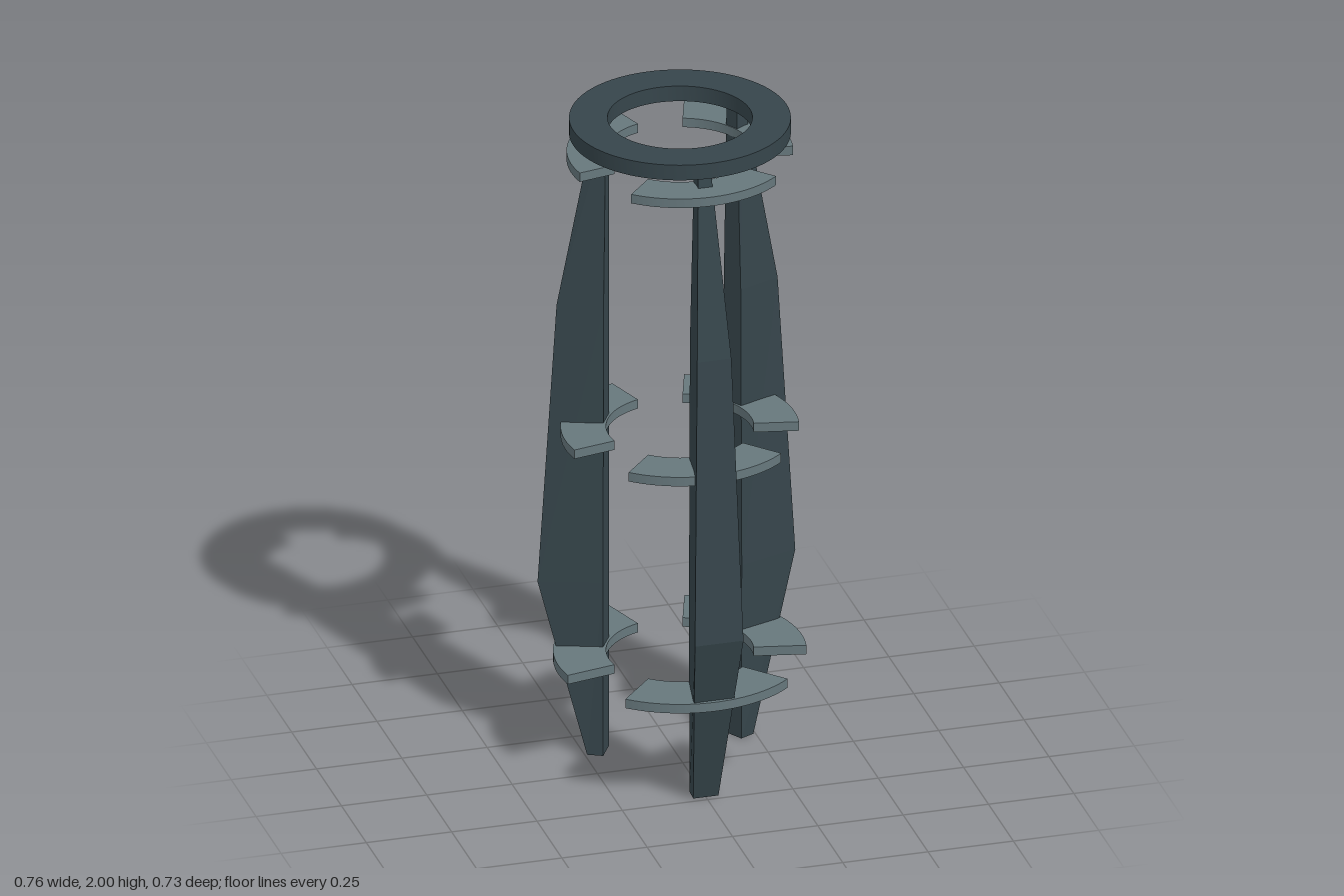
import * as THREE from 'three';
import { toCreasedNormals } from 'three/addons/utils/BufferGeometryUtils.js';

const dark = new THREE.MeshStandardMaterial({ color: 0x36454b });
const light = new THREE.MeshStandardMaterial({ color: 0x66777c });

// Flat plate from a shape, lying horizontally with its underside at y
function plate(shape, y, height, segments) {
  const g = new THREE.ExtrudeGeometry(shape, { depth: height, bevelEnabled: false, curveSegments: segments });
  g.rotateX(-Math.PI / 2);
  g.translate(0, y, 0);
  return toCreasedNormals(g, 0.6);
}

// Arc plate centred on +z
function arcPlate(inner, outer, half, y, height) {
  const mid = -Math.PI / 2;
  const s = new THREE.Shape();
  s.absarc(0, 0, outer, mid - half, mid + half, false);
  s.absarc(0, 0, inner, mid + half, mid - half, true);
  s.closePath();
  return plate(s, y, height, 24);
}

// Tapered leg lofted through trapezoid sections: [y, inner r, outer r, inner half width, outer half width]
function legGeometry() {
  const sections = [
    [0, 0.214, 0.26, 0.034, 0.037],
    [0.54, 0.214, 0.395, 0.036, 0.071],
    [1.4, 0.213, 0.345, 0.033, 0.05],
    [1.955, 0.21, 0.245, 0.02, 0.018],
  ];
  const pos = [], idx = [];
  for (const [y, ri, ro, wi, wo] of sections) {
    pos.push(-wo, y, ro, wo, y, ro, wi, y, ri, -wi, y, ri);
  }
  for (let s = 0; s < sections.length - 1; s++) {
    for (let k = 0; k < 4; k++) {
      const a = s * 4 + k, b = s * 4 + (k + 1) % 4;
      idx.push(a, b, b + 4, a, b + 4, a + 4);
    }
  }
  const t = (sections.length - 1) * 4;
  idx.push(0, 2, 1, 0, 3, 2, t, t + 1, t + 2, t, t + 2, t + 3);
  const g = new THREE.BufferGeometry();
  g.setAttribute('position', new THREE.Float32BufferAttribute(pos, 3));
  g.setIndex(idx);
  const flat = g.toNonIndexed();
  flat.computeVertexNormals();
  return flat;
}

export function createModel() {
  const model = new THREE.Group();
  model.name = 'ringStand';
  const frame = new THREE.Group();
  frame.name = 'frame';
  frame.position.z = -0.028;
  model.add(frame);

  // Top ring
  const ringShape = new THREE.Shape();
  ringShape.absarc(0, 0, 0.312, 0, Math.PI * 2, false);
  const hole = new THREE.Path();
  hole.absarc(0, 0, 0.204, 0, Math.PI * 2, true);
  ringShape.holes.push(hole);
  const ring = new THREE.Mesh(plate(ringShape, 1.953, 0.047, 64), dark);
  ring.name = 'topRing';
  frame.add(ring);

  // Three legs, each carrying three curved brackets: [underside y, outer radius]
  const leg = legGeometry();
  const brackets = [[0.312, 0.357], [1.01, 0.336], [1.87, 0.319]]
    .map(([y, r]) => arcPlate(0.208, r, 0.728, y, 0.028));
  for (let i = 0; i < 3; i++) {
    const unit = new THREE.Group();
    unit.name = 'legUnit' + (i + 1);
    unit.rotation.y = i * Math.PI * 2 / 3;
    const legMesh = new THREE.Mesh(leg, dark);
    legMesh.name = 'leg';
    unit.add(legMesh);
    brackets.forEach((g, j) => {
      const m = new THREE.Mesh(g, light);
      m.name = ['lowerBracket', 'middleBracket', 'upperBracket'][j];
      unit.add(m);
    });
    frame.add(unit);
  }
  return model;
}
